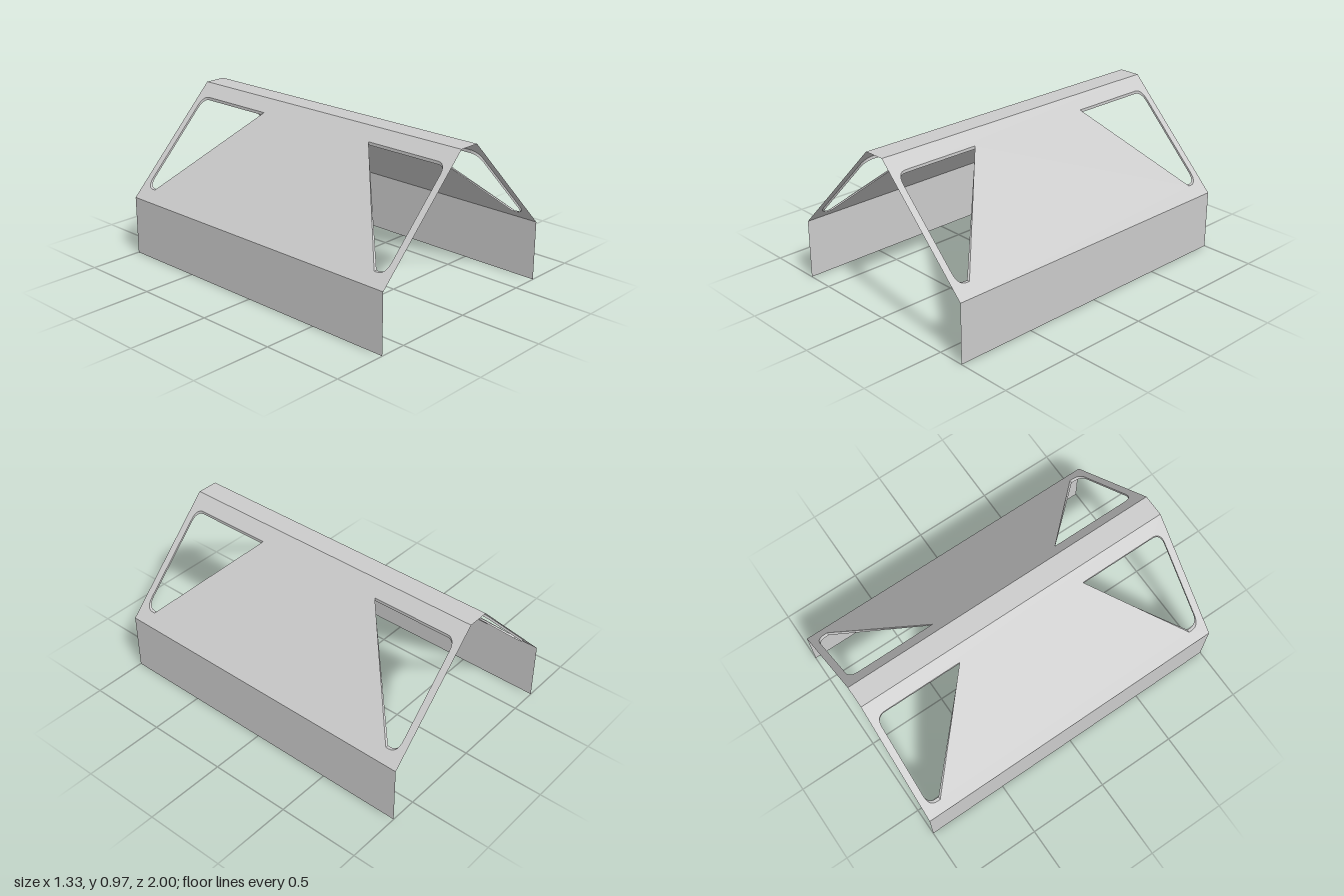
import * as THREE from 'three';

// Cross-section: eave wall, sloping roof, flat ridge
const HALF_W = 0.667, EAVE_Y = 0.36, RIDGE_X = 0.066, RIDGE_Y = 0.97;
const HOLE_LOW = 0.42, HOLE_HIGH = 0.9, RIM = 0.018;

const slopeX = (y) => HALF_W - ((y - EAVE_Y) * (HALF_W - RIDGE_X)) / (RIDGE_Y - EAVE_Y);

// Window outline in (z, y): slanted inner edge, two rounded outer corners
function windowPath(end) {
  const r = 0.055, z = 0.957;
  const p = new THREE.Path();
  p.moveTo(end * 0.415, HOLE_HIGH);
  p.lineTo(end * (z - r), HOLE_HIGH);
  p.quadraticCurveTo(end * z, HOLE_HIGH, end * z, HOLE_HIGH - r);
  p.lineTo(end * z, HOLE_LOW + r);
  p.quadraticCurveTo(end * z, HOLE_LOW, end * (z - r), HOLE_LOW);
  p.lineTo(end * 0.885, HOLE_LOW);
  p.closePath();
  return p;
}

// Narrow bevelled lip running round a window, set into the roof
function rimGeometry(end) {
  const loop = windowPath(end).getPoints(8);
  const outer = (p) => [slopeX(p.y), p.y, -p.x];
  const inner = (p) => {
    const k = (p.y - HOLE_LOW) / (HOLE_HIGH - HOLE_LOW);
    return [slopeX(p.y) - RIM * (1 - k), p.y - RIM * k, -p.x];
  };
  const pos = [];
  for (let i = 0; i < loop.length; i++) {
    const a = loop[i], b = loop[(i + 1) % loop.length];
    if (a.distanceTo(b) < 1e-6) continue;
    const quad = [outer(a), inner(a), inner(b), outer(b)];
    const order = end > 0 ? [0, 2, 1, 0, 3, 2] : [0, 1, 2, 0, 2, 3];
    for (const j of order) pos.push(...quad[j]);
  }
  const g = new THREE.BufferGeometry();
  g.setAttribute('position', new THREE.Float32BufferAttribute(pos, 3));
  g.computeVertexNormals();
  return g;
}

// Sloping panel with a window at each end
function roofGeometry() {
  const shape = new THREE.Shape([
    new THREE.Vector2(-1, EAVE_Y), new THREE.Vector2(1, EAVE_Y),
    new THREE.Vector2(1, RIDGE_Y), new THREE.Vector2(-1, RIDGE_Y),
  ]);
  shape.holes.push(windowPath(1), windowPath(-1));
  const g = new THREE.ShapeGeometry(shape, 8);
  const p = g.attributes.position;
  for (let i = 0; i < p.count; i++) {
    const z = -p.getX(i), y = p.getY(i);
    p.setXYZ(i, slopeX(y), y, z);
  }
  g.computeVertexNormals();
  return g;
}

export function createModel() {
  const model = new THREE.Group();
  model.name = 'canopy';
  const grey = new THREE.MeshStandardMaterial({ color: 0xcccccc, side: THREE.DoubleSide });
  grey.name = 'light grey';

  const add = (parent, name, geometry) => {
    const mesh = new THREE.Mesh(geometry, grey);
    mesh.name = name;
    parent.add(mesh);
    return mesh;
  };

  // One half, repeated by a half turn
  const roof = roofGeometry();
  const wall = new THREE.PlaneGeometry(2, EAVE_Y).rotateY(Math.PI / 2).translate(HALF_W, EAVE_Y / 2, 0);
  const rims = [1, -1].map(rimGeometry);
  for (const side of ['left', 'right']) {
    const half = new THREE.Group();
    half.name = side + 'Half';
    add(half, side + 'Wall', wall);
    add(half, side + 'Roof', roof);
    rims.forEach((g, i) => add(half, side + 'WindowRim' + (i + 1), g));
    if (side === 'right') half.rotation.y = Math.PI;
    model.add(half);
  }

  // Flat ridge strip
  add(model, 'ridge', new THREE.PlaneGeometry(RIDGE_X * 2, 2).rotateX(-Math.PI / 2).translate(0, RIDGE_Y, 0));
  return model;
}
